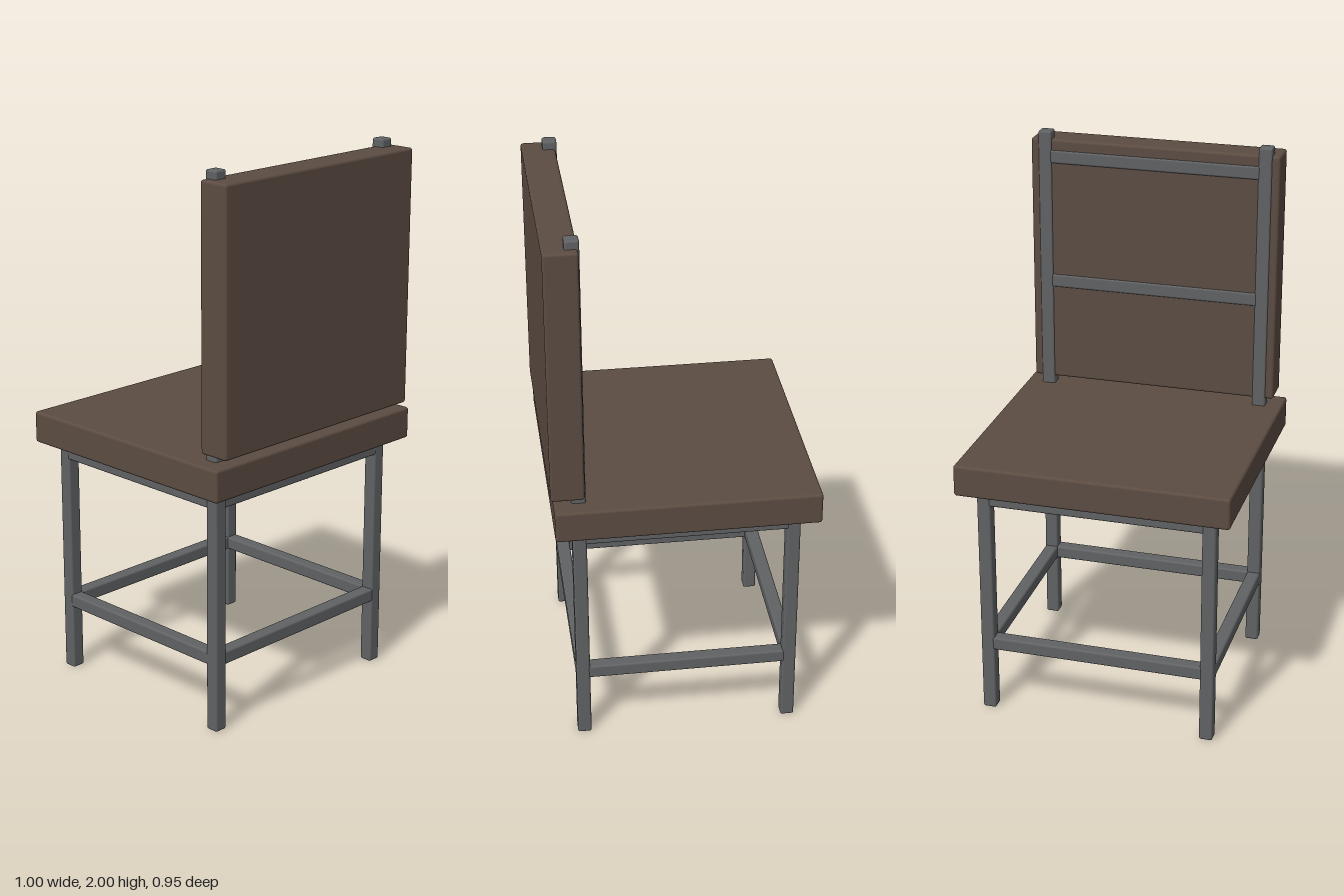
import * as THREE from 'three';
import { RoundedBoxGeometry } from 'three/addons/geometries/RoundedBoxGeometry.js';

export function createModel() {
  const chair = new THREE.Group();
  chair.name = 'chair';
  const cushion = new THREE.MeshStandardMaterial({ color: 0x5c4c42 });
  const metal = new THREE.MeshStandardMaterial({ color: 0x606264 });

  // Rounded box given by its lower and upper corners
  function block(name, material, [x0, y0, z0], [x1, y1, z1], radius) {
    const geometry = new RoundedBoxGeometry(x1 - x0, y1 - y0, z1 - z0, 2, radius);
    const mesh = new THREE.Mesh(geometry, material);
    mesh.name = name;
    mesh.position.set((x0 + x1) / 2, (y0 + y1) / 2, (z0 + z1) / 2);
    chair.add(mesh);
  }

  const T = 0.05; // tube thickness
  const X = 0.413; // tube centre line, sides
  const BACK = 0.374, FRONT = -0.385; // tube centre lines, backrest end and open end
  const R = 0.008;
  const tube = (name, x0, x1, y0, y1, z0, z1) =>
    block(name, metal, [x0 - T / 2, y0, z0 - T / 2], [x1 + T / 2, y1, z1 + T / 2], R);

  // Upholstered panels
  block('seat', cushion, [-0.5, 0.89, -0.473], [0.5, 1.007, 0.462], 0.01);
  block('backrest', cushion, [-0.467, 1.035, 0.354], [0.467, 1.97, 0.473], 0.01);

  // Legs; the two at the backrest run on up as posts
  for (const side of [-1, 1]) {
    tube('backPost', side * X, side * X, 0, 2, BACK, BACK);
    tube('openEndLeg', side * X, side * X, 0, 0.882, FRONT, FRONT);
  }

  // Rails under the seat and stretchers near the floor
  const inset = T - R;
  for (const [name, y] of [['seatRail', 0.832], ['stretcher', 0.248]]) {
    for (const z of [BACK, FRONT]) tube(name, -X + inset, X - inset, y, y + T, z, z);
    for (const side of [-1, 1]) {
      tube(name, side * X, side * X, y, y + T, FRONT + inset, BACK - inset);
    }
  }

  // Crossbars between the posts
  for (const y of [1.88, 1.4]) {
    tube('backCrossbar', -X + inset, X - inset, y, y + T, BACK, BACK);
  }

  return chair;
}
